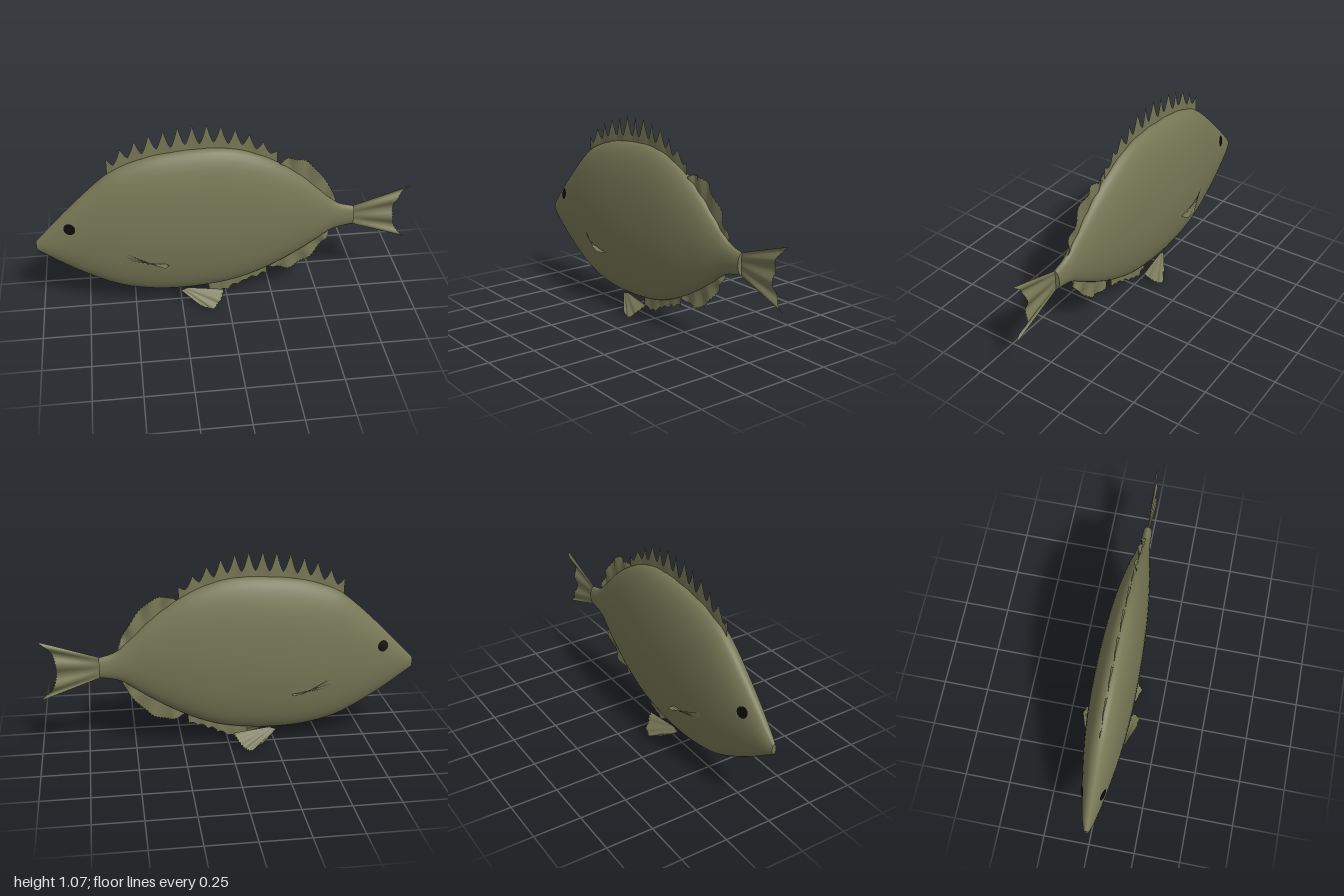
import * as THREE from 'three';

const olive = new THREE.MeshStandardMaterial({ color: 0x767755, side: THREE.DoubleSide });
olive.name = 'olive';
const black = new THREE.MeshStandardMaterial({ color: 0x0a0a0c });
black.name = 'black';

const V = (x, y, z = 0) => new THREE.Vector3(x, y, z);

// smooth interpolation through [x, value] pairs
function profile(p) {
  const slope = (i) => {
    const a = p[Math.max(i - 1, 0)], b = p[Math.min(i + 1, p.length - 1)];
    return (b[1] - a[1]) / (b[0] - a[0]);
  };
  return (x) => {
    let i = 0;
    while (i < p.length - 2 && x > p[i + 1][0]) i++;
    const w = p[i + 1][0] - p[i][0];
    const t = THREE.MathUtils.clamp((x - p[i][0]) / w, 0, 1), t2 = t * t, t3 = t2 * t;
    return (2 * t3 - 3 * t2 + 1) * p[i][1] + (t3 - 2 * t2 + t) * w * slope(i)
      + (3 * t2 - 2 * t3) * p[i + 1][1] + (t3 - t2) * w * slope(i + 1);
  };
}

// body outline: back, belly and half width along x
const back = profile([[-1, 0.455], [-0.8, 0.66], [-0.61, 0.83], [-0.5, 0.885], [-0.35, 0.925], [-0.12, 0.945],
  [0.02, 0.935], [0.14, 0.9], [0.26, 0.84], [0.4, 0.74], [0.5, 0.645], [0.59, 0.568], [0.68, 0.54]]);
const belly = profile([[-1, 0.4], [-0.8, 0.26], [-0.6, 0.15], [-0.45, 0.108], [-0.3, 0.092], [-0.13, 0.097],
  [0.05, 0.125], [0.2, 0.18], [0.35, 0.26], [0.48, 0.345], [0.57, 0.405], [0.68, 0.43]]);
const halfWidth = profile([[-1, 0.012], [-0.95, 0.03], [-0.8, 0.062], [-0.6, 0.093], [-0.4, 0.11], [-0.2, 0.114],
  [0, 0.108], [0.2, 0.093], [0.4, 0.064], [0.52, 0.04], [0.6, 0.028], [0.68, 0.024]]);

const sideZ = (x, y) => {
  const mid = (back(x) + belly(x)) / 2, h = (back(x) - belly(x)) / 2;
  return halfWidth(x) * Math.sqrt(Math.max(0, 1 - ((y - mid) / h) ** 2));
};

// elliptical rings lofted along x, with flat ends
function bodyGeometry(rings = 64, sides = 48) {
  const pos = [], idx = [];
  const ring = (x) => {
    const mid = (back(x) + belly(x)) / 2, h = (back(x) - belly(x)) / 2;
    for (let j = 0; j < sides; j++) {
      const a = (j / sides) * Math.PI * 2;
      pos.push(x, mid + h * Math.cos(a), halfWidth(x) * Math.sin(a));
    }
  };
  for (let i = 0; i <= rings; i++) ring(-1 + 1.68 * i / rings);
  for (let i = 0; i < rings; i++) {
    for (let j = 0; j < sides; j++) {
      const k = (j + 1) % sides, a = i * sides + j, b = i * sides + k;
      idx.push(a, b, a + sides, b, b + sides, a + sides);
    }
  }
  for (const x of [-1, 0.68]) {
    const start = pos.length / 3;
    ring(x);
    pos.push(x, (back(x) + belly(x)) / 2, 0);
    for (let j = 0; j < sides; j++) {
      const a = start + j, b = start + (j + 1) % sides;
      if (x < 0) idx.push(start + sides, b, a);
      else idx.push(start + sides, a, b);
    }
  }
  return toGeometry(pos, idx);
}

function toGeometry(pos, idx) {
  const g = new THREE.BufferGeometry();
  g.setAttribute('position', new THREE.Float32BufferAttribute(pos, 3));
  g.setIndex(idx);
  g.computeVertexNormals();
  return g;
}

// thin membrane between a base line and an outer edge, rippled by its rays
function finGeometry(base, edge, cols, ripple = 0.006, waves = 5, rows = 4) {
  const pos = [], idx = [];
  for (let i = 0; i <= cols; i++) {
    const u = i / cols, a = base(u), b = edge(u);
    for (let r = 0; r <= rows; r++) {
      const v = r / rows, p = a.clone().lerp(b, v);
      pos.push(p.x, p.y, p.z + ripple * v * Math.sin(u * waves * Math.PI * 2));
      if (i < cols && r < rows) {
        const q = i * (rows + 1) + r, n = q + rows + 1;
        idx.push(q, n, q + 1, n, n + 1, q + 1);
      }
    }
  }
  return toGeometry(pos, idx);
}

const curve = (...pts) => {
  const c = new THREE.CatmullRomCurve3(pts.map((p) => V(...p)));
  return (u) => c.getPoint(u);
};
// pulls every other point of an edge inward for a ragged rim
const ragged = (edge, base, cols, depth) => (u) =>
  edge(u).lerp(base(u), Math.round(u * cols) % 2 ? depth : 0);

export function createModel() {
  const group = new THREE.Group();
  const add = (name, geometry, material = olive) => {
    const m = new THREE.Mesh(geometry, material);
    m.name = name;
    group.add(m);
  };

  add('body', bodyGeometry());

  // spiny dorsal fin with thirteen spines
  const tips = profile([[-0.61, 0.92], [-0.465, 1.01], [-0.32, 1.06], [-0.2, 1.078], [-0.03, 1.07],
    [0.115, 1.01], [0.26, 0.905]]);
  const spineX = (u) => -0.61 + 0.87 * u;
  add('spinyDorsalFin', finGeometry(
    (u) => V(spineX(u), back(spineX(u)) - 0.04),
    (u) => {
      const x = spineX(u), s = u * 12, d = Math.abs(s - Math.round(s)) * 2, valley = back(x) + 0.03;
      return V(x, valley + (tips(x) - valley) * (1 - d) ** 1.4);
    }, 120, 0.004, 6));

  // soft dorsal fin
  const softBase = (u) => V(0.265 + 0.31 * u, back(0.265 + 0.31 * u) - 0.03);
  const softEdge = curve([0.265, 0.83], [0.3, 0.852], [0.35, 0.858], [0.41, 0.84], [0.47, 0.785],
    [0.53, 0.7], [0.565, 0.635], [0.585, 0.575]);
  add('softDorsalFin', finGeometry(softBase, ragged(softEdge, softBase, 60, 0.07), 60, 0.01, 4));

  // anal fin: scalloped front part and rounded rear part
  const analX = (u) => -0.1 + 0.32 * u;
  const analLine = profile([[-0.1, 0.05], [-0.03, 0.035], [0.05, 0.07], [0.13, 0.105], [0.22, 0.135]]);
  add('spinyAnalFin', finGeometry(
    (u) => V(analX(u), belly(analX(u)) + 0.03),
    (u) => V(analX(u), analLine(analX(u)) + 0.014 * Math.abs(Math.sin(u * Math.PI * 6))),
    60, 0.004, 4));
  const rearBase = (u) => V(0.22 + 0.34 * u, belly(0.22 + 0.34 * u) + 0.03);
  const rearEdge = curve([0.22, 0.195], [0.27, 0.172], [0.33, 0.163], [0.4, 0.187], [0.46, 0.235],
    [0.52, 0.31], [0.55, 0.36], [0.565, 0.405]);
  add('softAnalFin', finGeometry(rearBase, ragged(rearEdge, rearBase, 60, 0.07), 60, 0.01, 4));

  // forked tail fin
  const tailBase = (u) => V(0.67, 0.43 + 0.11 * u);
  const tailEdge = curve([0.99, 0.315], [0.935, 0.365], [0.91, 0.42], [0.903, 0.48], [0.91, 0.54],
    [0.935, 0.593], [0.99, 0.645]);
  add('tailFin', finGeometry(tailBase, ragged(tailEdge, tailBase, 48, 0.025), 48, 0.01, 3, 8));

  for (const s of [1, -1]) {
    const side = s > 0 ? 'left' : 'right';
    // the fish swims toward -x, so +z is its own left
    // pectoral fin twisting from an upright root to a flat tip
    const pecRoot = (u) => V(-0.58 + 0.01 * u, 0.33 + 0.08 * u, s * 0.085);
    const pecTip = curve([-0.33, 0.318, s * 0.1], [-0.32, 0.32, s * 0.118],
      [-0.335, 0.325, s * 0.143], [-0.38, 0.34, s * 0.148]);
    add(side + 'PectoralFin', finGeometry(pecRoot, pecTip, 20, 0.004, 3, 10));

    // pelvic fin spreading down and outward
    const pelvicRoot = (u) => V(-0.255 + 0.04 * u, 0.085 + 0.015 * u, s * 0.03);
    const pelvicTip = curve([-0.17, 0.03, s * 0.09], [-0.09, 0.006, s * 0.12],
      [-0.05, 0.035, s * 0.1], [-0.015, 0.085, s * 0.05]);
    add(side + 'PelvicFin', finGeometry(pelvicRoot, ragged(pelvicTip, pelvicRoot, 24, 0.04), 24, 0.005, 3));

    // eye disc laid over the curve of the head
    const eye = new THREE.RingGeometry(0.0001, 0.03, 24, 4);
    if (s < 0) eye.rotateY(Math.PI);
    eye.translate(-0.82, 0.547, 0);
    const p = eye.attributes.position;
    for (let i = 0; i < p.count; i++) p.setZ(i, s * (sideZ(p.getX(i), p.getY(i)) + 0.004));
    eye.computeVertexNormals();
    add(side + 'Eye', eye, black);
  }
  return group;
}
